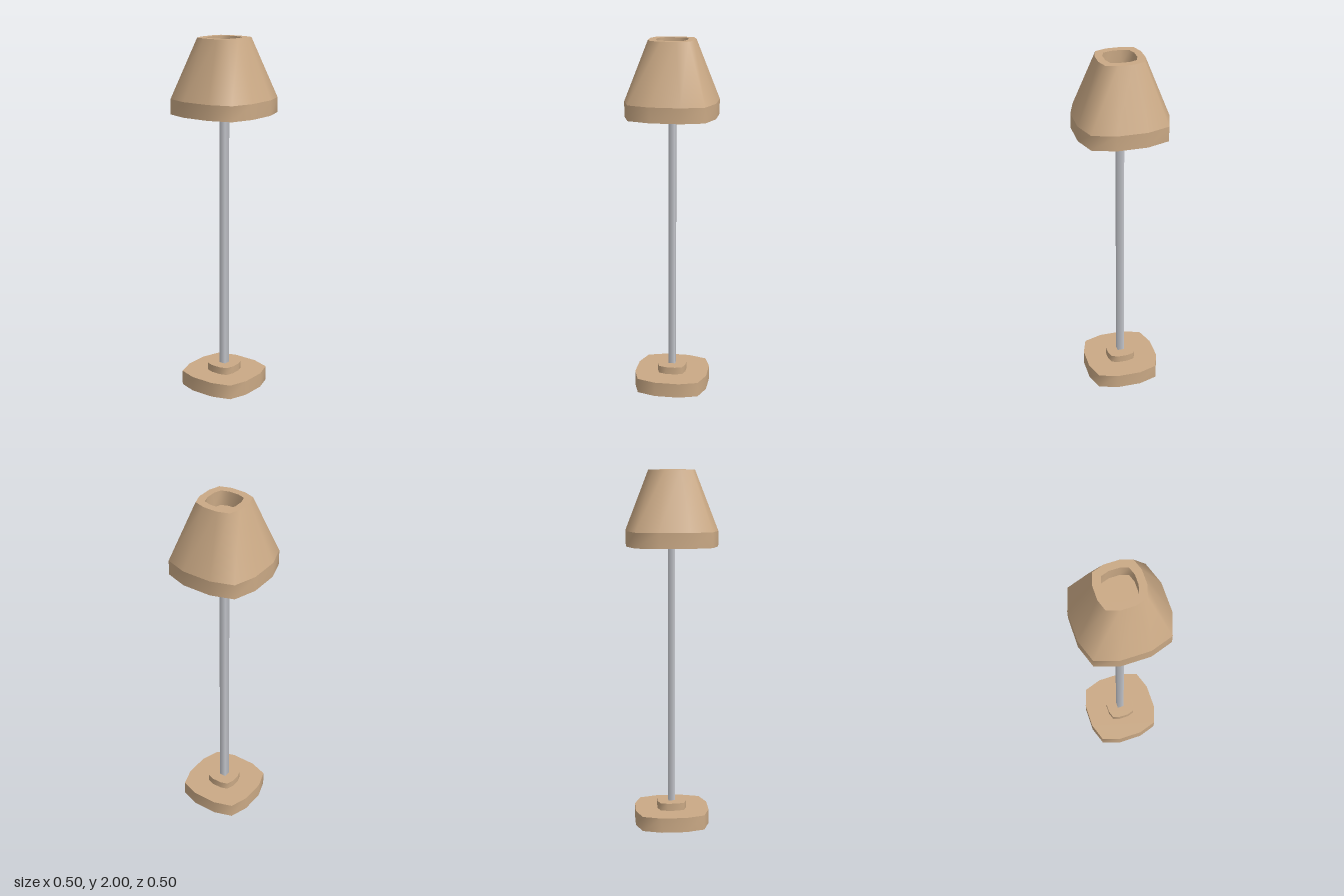
import * as THREE from 'three';

// rounded-square outline with twelve corners, for a half-width of 1
const quarter = [[1, 0.333], [0.833, 0.833], [0.333, 1]];
const outline = [];
for (let q = 0; q < 4; q++) {
  for (const [x, z] of quarter) {
    let a = x, b = z;
    for (let i = 0; i < q; i++) [a, b] = [-b, a];
    outline.push([a, b]);
  }
}
const N = outline.length;

// smooth wall between two outlines; each level is [halfWidth, y], bottom first
function wall(lower, upper) {
  const pos = [], index = [];
  for (const [r, y] of [lower, upper]) {
    for (const [x, z] of outline) pos.push(x * r, y, z * r);
  }
  for (let i = 0; i < N; i++) {
    const j = (i + 1) % N;
    index.push(i, N + i, j, j, N + i, N + j);
  }
  const g = new THREE.BufferGeometry();
  g.setAttribute('position', new THREE.Float32BufferAttribute(pos, 3));
  g.setIndex(index);
  g.computeVertexNormals();
  return g;
}

// flat cap, optionally with a hole of the same outline
function cap(r, y, up = true, hole = 0) {
  const points = (k) => outline.map(([x, z]) => new THREE.Vector2(x * k, z * k));
  const shape = new THREE.Shape(points(r));
  if (hole) shape.holes.push(new THREE.Path(points(hole).reverse()));
  const g = new THREE.ShapeGeometry(shape);
  g.rotateX(up ? -Math.PI / 2 : Math.PI / 2);
  g.translate(0, y, 0);
  return g;
}

export function createModel() {
  const wood = new THREE.MeshStandardMaterial({ color: 0xcaa985, side: THREE.DoubleSide });
  wood.name = 'tan';
  const metal = new THREE.MeshStandardMaterial({ color: 0xc6c8ce });
  metal.name = 'light grey';

  const model = new THREE.Group();
  model.name = 'floorLamp';
  const part = (name, material, ...geometries) => {
    const group = new THREE.Group();
    group.name = name;
    geometries.forEach((g, i) => {
      const mesh = new THREE.Mesh(g, material);
      mesh.name = `${name}Surface${i + 1}`;
      group.add(mesh);
    });
    model.add(group);
  };

  // base, a thin shell open underneath
  part('base', wood, wall([0.208, 0], [0.208, 0.083]), cap(0.208, 0.083));

  // collar around the foot of the pole
  part('collar', wood, wall([0.081, 0.083], [0.081, 0.125]), cap(0.081, 0.125));

  // square pole with softened shading
  const pole = new THREE.CylinderGeometry(0.0272, 0.0272, 1.463, 4, 1, true, Math.PI / 4);
  pole.translate(0, 0.125 + 1.463 / 2, 0);
  part('pole', metal, pole);

  // shade: straight lower band, tapered body, rim and recessed top
  part('shade', wood,
    cap(0.25, 1.588, false),
    wall([0.25, 1.588], [0.25, 1.672]),
    wall([0.25, 1.672], [0.125, 2]),
    cap(0.125, 2, true, 0.085),
    wall([0.085, 2], [0.085, 1.917]),
    cap(0.085, 1.917));

  return model;
}
